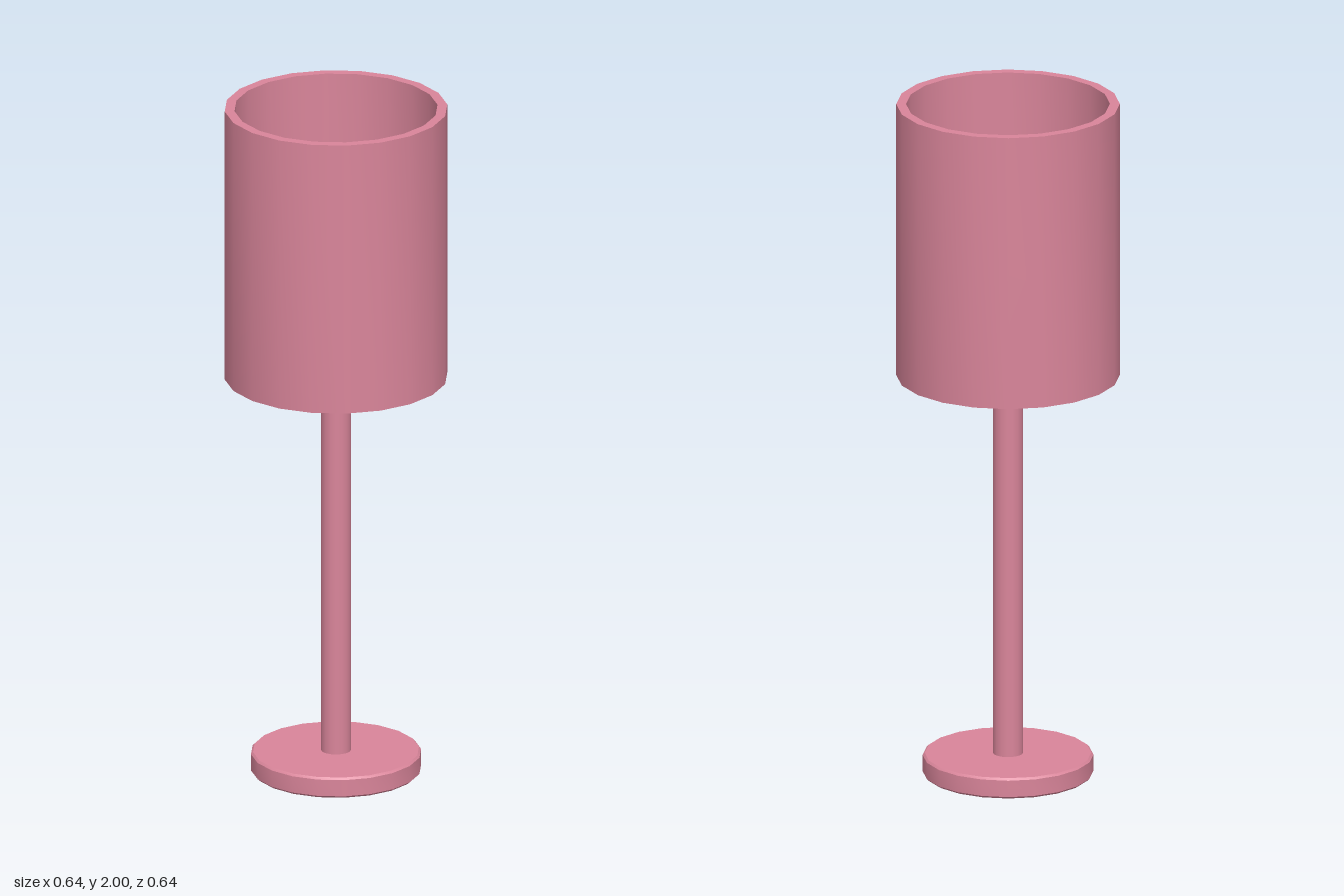
import * as THREE from 'three';
import { toCreasedNormals } from 'three/addons/utils/BufferGeometryUtils.js';

const material = (name, color) => {
  const m = new THREE.MeshStandardMaterial({ color });
  m.name = name;
  return m;
};

// Turned part from [radius, height] pairs, smooth around and sharp at corners
const turned = (points, sides) => toCreasedNormals(
  new THREE.LatheGeometry(points.map(([r, y]) => new THREE.Vector2(r, y)), sides), 0.6);

export function createModel() {
  const lamp = new THREE.Group();
  lamp.name = 'floorLamp';
  const pink = material('pink', 0xd9859a);
  const grey = material('metalGrey', 0x999b9a);
  const white = material('bulbWhite', 0xe2e2e2);

  const add = (name, geometry, mat, y = 0) => {
    const mesh = new THREE.Mesh(geometry, mat);
    mesh.name = name;
    mesh.position.y = y;
    lamp.add(mesh);
    return mesh;
  };

  // Round foot with softened rims
  add('base', turned([[0, 0], [0.237, 0], [0.243, 0.006], [0.243, 0.055], [0.237, 0.061], [0, 0.061]], 20), pink);

  // Upright post
  add('pole', new THREE.CylinderGeometry(0.043, 0.043, 1.35, 16), pink, 0.725);

  // Open drum shade with a thick wall
  add('shade', turned([[0.318, 1.19], [0.318, 2], [0.29, 2], [0.29, 1.19], [0.318, 1.19]], 20), pink);

  // Crossed bars holding the shade
  const bar = new THREE.CylinderGeometry(0.0135, 0.0135, 0.58, 10);
  add('crossBarX', bar, grey, 1.4).rotation.z = Math.PI / 2;
  add('crossBarZ', bar, grey, 1.46).rotation.x = Math.PI / 2;

  // Socket and bulb
  add('socket', turned([[0, 1.36], [0.074, 1.36], [0.081, 1.367], [0.081, 1.503], [0.074, 1.51], [0, 1.51]], 12), grey);
  add('bulb', new THREE.SphereGeometry(0.075, 32, 20), white, 1.56);

  return lamp;
}
